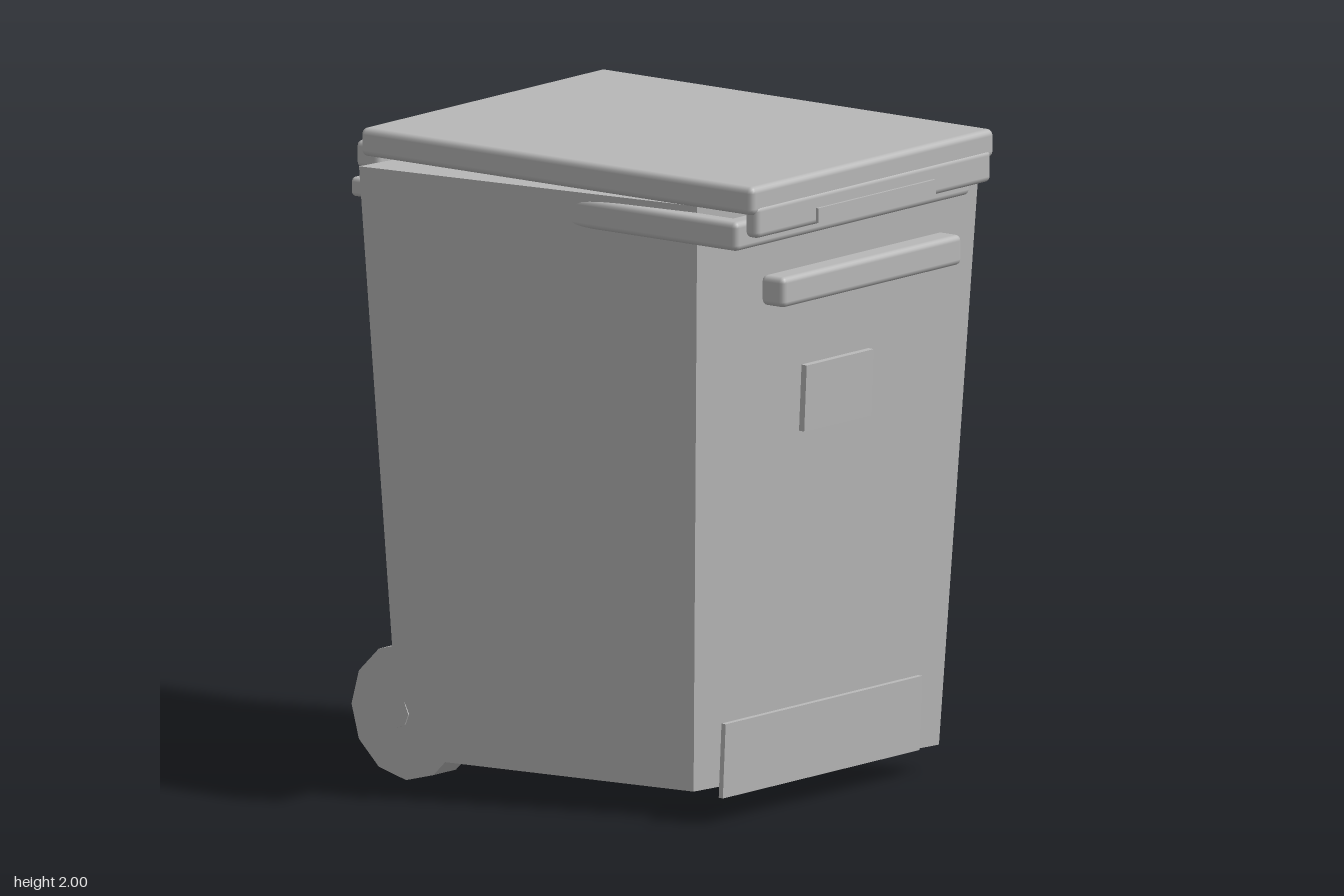
import * as THREE from 'three';
import { RoundedBoxGeometry } from 'three/addons/geometries/RoundedBoxGeometry.js';

export function createModel() {
  const bin = new THREE.Group();
  bin.name = 'wheeledBin';
  const grey = new THREE.MeshStandardMaterial({ color: 0xb8b8b8 });
  grey.name = 'grey plastic';

  const add = (name, geometry, x, y, z) => {
    const mesh = new THREE.Mesh(geometry, grey);
    mesh.name = name;
    mesh.position.set(x, y, z);
    bin.add(mesh);
    return mesh;
  };
  // soft-edged bar given by its extents on each axis
  const bar = (name, [x0, x1], [y0, y1], [z0, z1], r = 0.018) =>
    add(name, new RoundedBoxGeometry(x1 - x0, y1 - y0, z1 - z0, 2, r),
      (x0 + x1) / 2, (y0 + y1) / 2, (z0 + z1) / 2);
  // faceted drum, by sides
  const faceted = (geometry) => {
    const g = geometry.toNonIndexed();
    g.computeVertexNormals();
    return g;
  };

  // tapered four-sided body with a diamond-skewed plan
  const bodyGeometry = new THREE.CylinderGeometry(0.943, 0.819, 1.82, 4);
  bodyGeometry.scale(0.777, 1, 1);
  bodyGeometry.rotateY(Math.PI / 4);
  add('body', faceted(bodyGeometry), 0, 0.99, 0.025);

  // rim around the top of the body
  const rimY = [1.79, 1.88];
  bar('frontRim', [-0.57, 0.57], rimY, [0.665, 0.735]);
  bar('backRim', [-0.57, 0.57], rimY, [-0.68, -0.61]);
  for (const [name, s] of [['leftRim', 1], ['rightRim', -1]]) {
    const xs = [0.5 * s, 0.57 * s].sort((a, b) => a - b);
    bar(name, xs, rimY, [-0.68, 0.735]);
  }

  // lid with front lip, grip plate and hinge
  bar('lid', [-0.59, 0.59], [1.912, 2], [-0.7, 0.812], 0.02);
  bar('lidLip', [-0.57, 0.57], [1.84, 1.94], [0.765, 0.816]);
  add('lidGrip', new THREE.BoxGeometry(0.57, 0.045, 0.009), 0, 1.87, 0.8205);
  bar('hinge', [-0.53, 0.53], [1.86, 1.945], [-0.765, -0.675]);

  // push handles
  bar('frontHandle', [-0.435, 0.435], [1.605, 1.698], [0.72, 0.81]);
  bar('backHandle', [-0.475, 0.475], [1.755, 1.815], [-0.828, -0.765], 0.014);

  // front plates, leaning with the body wall
  const lean = 0.047;
  add('labelPlate', new THREE.BoxGeometry(0.325, 0.205, 0.02), 0, 1.27, 0.668).rotation.x = lean;
  add('kickPlate', new THREE.BoxGeometry(0.955, 0.23, 0.016), 0, 0.195, 0.607).rotation.x = lean;

  // axle and wheels
  const axle = new THREE.CylinderGeometry(0.048, 0.048, 1.17, 8);
  axle.rotateZ(Math.PI / 2);
  add('axle', faceted(axle), 0, 0.215, -0.565);
  for (const [name, x] of [['leftWheel', 0.59], ['rightWheel', -0.48]]) {
    const wheel = new THREE.CylinderGeometry(0.21, 0.21, 0.11, 12);
    wheel.rotateZ(Math.PI / 2);
    add(name, faceted(wheel), x, 0.21, -0.565);
  }
  return bin;
}
